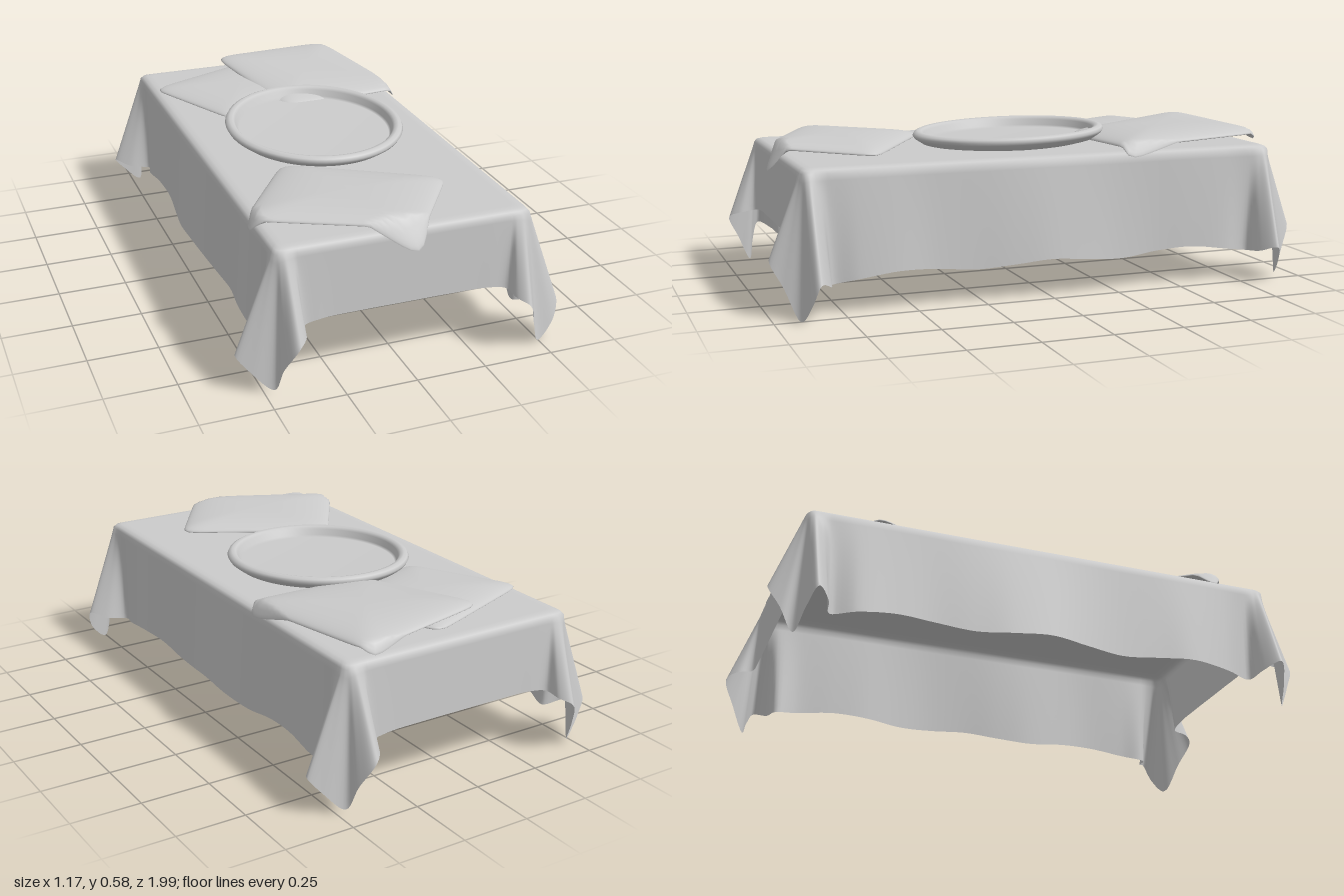
import * as THREE from 'three';

const material = new THREE.MeshStandardMaterial({ color: 0xcccccc, side: THREE.DoubleSide });
const TOP = 0.505;

// Surface made of closed rings: at(row, t) gives a point, t running round the ring.
function ringSurface(name, rows, cols, at) {
  const pos = [], index = [];
  for (let r = 0; r < rows; r++) {
    for (let c = 0; c < cols; c++) pos.push(...at(r, c / cols));
  }
  for (let r = 0; r < rows - 1; r++) {
    for (let c = 0; c < cols; c++) {
      const n = (c + 1) % cols;
      const a = r * cols + c, d = r * cols + n, b = a + cols, e = d + cols;
      index.push(a, d, b, d, e, b);
    }
  }
  const g = new THREE.BufferGeometry();
  g.setAttribute('position', new THREE.Float32BufferAttribute(pos, 3));
  g.setIndex(index);
  g.computeVertexNormals();
  const mesh = new THREE.Mesh(g, material);
  mesh.name = name;
  return mesh;
}

// One corner, from the long side to the short side: hem x, y, z, then top edge x, z.
// Two pleats stand out, with the hanging tip of the cloth between them.
const CORNER = [
  [0.472, 0.125, 0.70, 0.455, 0.70],
  [0.455, 0.11, 0.79, 0.455, 0.80],
  [0.53, 0.12, 0.81, 0.455, 0.84],
  [0.585, 0.14, 0.855, 0.455, 0.86],
  [0.54, 0.08, 0.885, 0.452, 0.872],
  [0.47, 0.015, 0.91, 0.445, 0.88],
  [0.45, 0.11, 0.955, 0.435, 0.884],
  [0.41, 0.20, 0.995, 0.42, 0.886],
  [0.375, 0.22, 0.96, 0.40, 0.886],
  [0.365, 0.23, 0.905, 0.38, 0.886],
  [0.30, 0.24, 0.895, 0.30, 0.886],
];

function tablecloth() {
  const hem = [], edge = [];
  const add = (x, y, z, tx, tz) => {
    hem.push(new THREE.Vector3(x, y, z));
    edge.push(new THREE.Vector3(tx, 0.488, tz));
  };
  const addCorner = (sx, sz) => {
    const list = sx * sz > 0 ? CORNER : [...CORNER].reverse();
    for (const [x, y, z, tx, tz] of list) {
      const swing = sx > 0 && sz > 0 && y < 0.1 ? 0.03 : 0;
      add(sx * (x + swing), y - swing * 0.4, sz * z, sx * tx, sz * tz);
    }
  };
  const shortSide = (sz, dir) => {
    for (const k of [-0.15, 0, 0.15]) add(k * dir, 0.243, sz * 0.893, k * dir, sz * 0.886);
  };
  // The long sides hang in soft waves.
  const longSide = (sx, dir) => {
    for (let k = -4; k <= 4; k++) {
      const z = k * 0.14 * dir;
      add(sx * (0.476 + 0.016 * Math.sin(z * 8 + 2)), 0.133 + 0.011 * Math.cos(z * 12), z, sx * 0.455, z);
    }
  };
  addCorner(1, 1); shortSide(1, -1);
  addCorner(-1, 1); longSide(-1, -1);
  addCorner(-1, -1); shortSide(-1, 1);
  addCorner(1, -1); longSide(1, 1);

  const hemCurve = new THREE.CatmullRomCurve3(hem, true);
  const edgeCurve = new THREE.CatmullRomCurve3(edge, true);
  // Flat top and its rounded edge: x scale, z scale, height
  const topRings = [[0, 0, TOP], [0.5, 0.5, TOP], [0.9, 0.95, TOP], [0.945, 0.975, TOP - 0.001], [0.98, 0.991, TOP - 0.006]];
  const drop = 16;
  return ringSurface('tablecloth', topRings.length + drop + 1, hem.length * 6, (r, t) => {
    const e = edgeCurve.getPoint(t);
    if (r < topRings.length) {
      const [sx, sz, y] = topRings[r];
      return [e.x * sx, y, e.z * sz];
    }
    const s = (r - topRings.length) / drop;
    return e.lerp(hemCurve.getPoint(t), s).toArray();
  });
}

// Soft cushion stretched over four corners [x, y, z]; it sags past the table edge.
function cushion(name, corners, thickness) {
  const rows = 28;
  return ringSurface(name, rows + 1, 96, (r, t) => {
    const phi = (r / rows) * Math.PI, a = t * Math.PI * 2;
    const c = Math.cos(a), s = Math.sin(a);
    const square = 1.03 / Math.pow(Math.abs(c) ** 12 + Math.abs(s) ** 12, 1 / 12);
    const k = Math.pow(Math.max(0, Math.sin(phi)), 0.8) * square;
    const u = (c * k + 1) / 2, v = (s * k + 1) / 2;
    const w = [(1 - u) * (1 - v), u * (1 - v), u * v, (1 - u) * v];
    const p = [0, 0, 0];
    corners.forEach((q, i) => q.forEach((n, j) => { p[j] += n * w[i]; }));
    const up = Math.cos(phi);
    p[1] += thickness * up * (up > 0 ? 1 : 0.35);
    p[1] -= 1.4 * Math.max(0, Math.abs(p[0]) - 0.44, Math.abs(p[2]) - 0.86);
    return p;
  });
}

// Shallow oval tray with a rolled rim, leaning slightly on the back cushions
function tray() {
  const profile = [
    [0, -0.012], [0.27, -0.012], [0.3, -0.004], [0.325, 0.015], [0.331, 0.026], [0.326, 0.036],
    [0.314, 0.042], [0.301, 0.039], [0.293, 0.03], [0.287, 0.008], [0.28, 0], [0, 0],
  ].map(([x, y]) => new THREE.Vector2(x, y));
  const mesh = new THREE.Mesh(new THREE.LatheGeometry(profile, 72), material);
  mesh.name = 'tray';
  mesh.scale.z = 1.11;
  mesh.rotation.x = 0.03;
  mesh.position.set(0.008, 0.518, -0.008);
  return mesh;
}

export function createModel() {
  const group = new THREE.Group();
  group.name = 'coveredTable';
  group.add(
    tablecloth(),
    tray(),
    cushion('frontCushion', [[-0.22, 0.515, 0.29], [0.27, 0.512, 0.58], [0.03, 0.525, 0.93], [-0.48, 0.525, 0.68]], 0.034),
    cushion('backRightCushion', [[-0.13, 0.562, -0.79], [0.37, 0.54, -0.88], [0.47, 0.525, -0.29], [-0.01, 0.515, -0.27]], 0.036),
    cushion('backLeftCushion', [[-0.44, 0.517, -0.63], [0.05, 0.52, -0.83], [0.22, 0.512, -0.42], [-0.25, 0.512, -0.24]], 0.03),
  );
  // Rest the lowest tip of the cloth on the ground
  group.position.y = -new THREE.Box3().setFromObject(group).min.y;
  return group;
}
